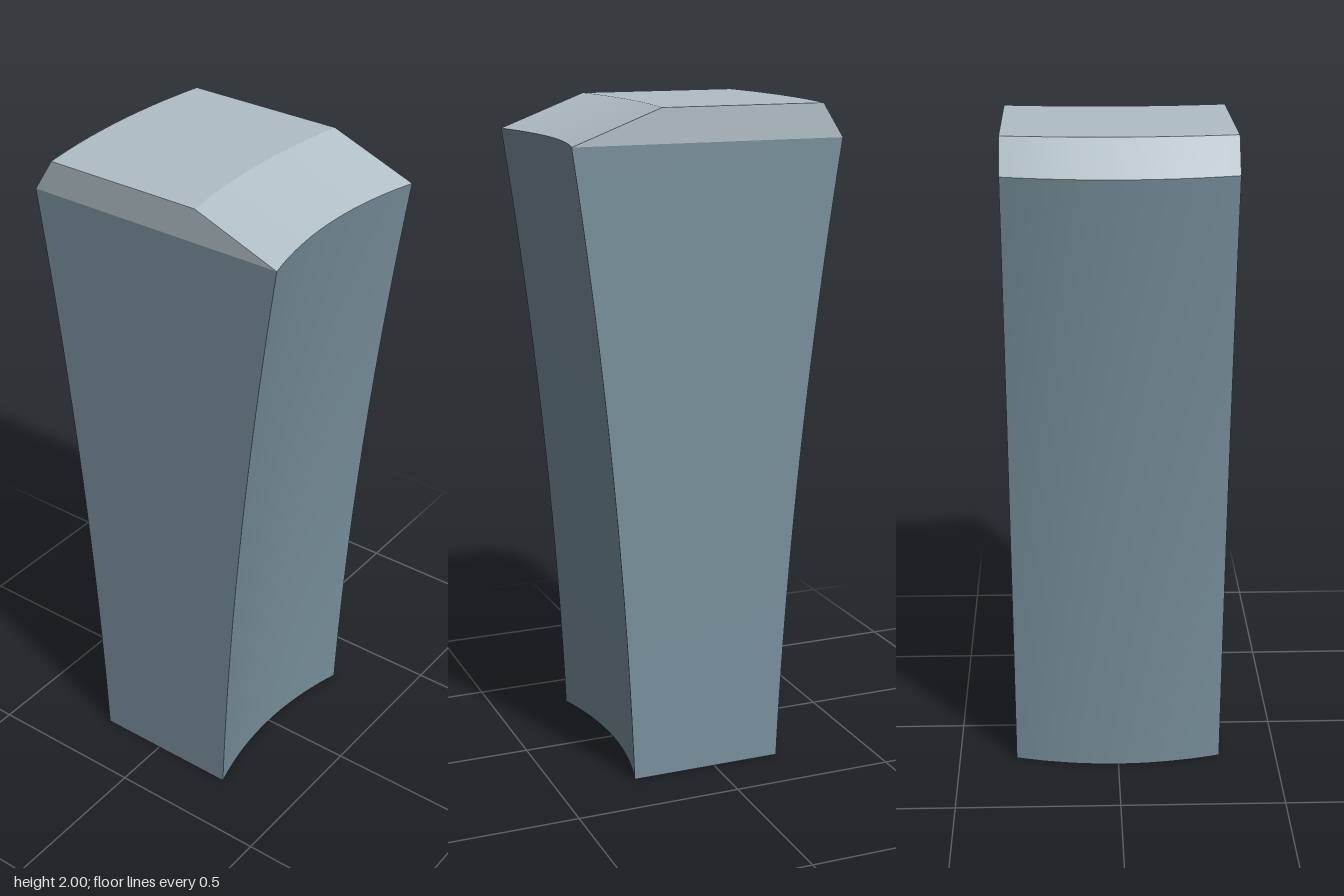
import * as THREE from 'three';

// Cross-section at a height: half width, front and back z on the centre line, bow of the curve
const SHOULDER = 1.9;
function bodySection(y) {
  const t = y / SHOULDER;
  const flare = 0.4 * t + 0.6 * t * t;
  return { y, w: 0.321 + 0.009 * t, front: 0.213 + 0.176 * flare, back: -0.257 - 0.18 * flare, bow: 0.047 };
}
const crown = { y: 2, w: 0.33, front: 0.144, back: -0.353, bow: 0.027 };
const shoulder = bodySection(SHOULDER);

function capSection(v) {
  const s = {};
  for (const k of Object.keys(crown)) s[k] = THREE.MathUtils.lerp(shoulder[k], crown[k], v);
  return s;
}

// Point on a section: a runs across x (-1..1), d runs from front (0) to back (1)
function pointOn(s, a, d) {
  return [a * s.w, s.y, THREE.MathUtils.lerp(s.front, s.back, d) + s.bow * a * a];
}

// Smooth surface patch: u to the right, v upwards as seen from outside
function patch(fn, nu, nv) {
  const positions = [], index = [];
  for (let j = 0; j <= nv; j++)
    for (let i = 0; i <= nu; i++) positions.push(...fn(i / nu, j / nv));
  for (let j = 0; j < nv; j++)
    for (let i = 0; i < nu; i++) {
      const a = j * (nu + 1) + i, b = a + 1, c = a + nu + 1, d = c + 1;
      index.push(a, b, d, a, d, c);
    }
  const g = new THREE.BufferGeometry();
  g.setAttribute('position', new THREE.Float32BufferAttribute(positions, 3));
  g.setIndex(index);
  g.computeVertexNormals();
  return g;
}

// Four walls around a varying section
function walls(name, section, material, nv) {
  const group = new THREE.Group();
  group.name = name;
  const add = (part, fn, nu) => {
    const mesh = new THREE.Mesh(patch(fn, nu, nv), material);
    mesh.name = part;
    group.add(mesh);
  };
  add(name + 'Front', (u, v) => pointOn(section(v), 2 * u - 1, 0), 20);
  add(name + 'Back', (u, v) => pointOn(section(v), 1 - 2 * u, 1), 20);
  add(name + 'LeftSide', (u, v) => pointOn(section(v), 1, u), 1);
  add(name + 'RightSide', (u, v) => pointOn(section(v), -1, 1 - u), 1);
  return group;
}

export function createModel() {
  const model = new THREE.Group();
  model.name = 'curvedBlock';
  const bodyMaterial = new THREE.MeshStandardMaterial({ color: 0x78909c, side: THREE.DoubleSide });
  bodyMaterial.name = 'slate blue';
  const capMaterial = new THREE.MeshStandardMaterial({ color: 0xb0bec5, side: THREE.DoubleSide });
  capMaterial.name = 'pale grey blue';

  // Flared hollow body, open underneath
  model.add(walls('body', (v) => bodySection(v * SHOULDER), bodyMaterial, 20));

  // Bevelled cap with a flat top
  const cap = walls('cap', capSection, capMaterial, 1);
  const top = new THREE.Mesh(patch((u, v) => pointOn(crown, 2 * u - 1, v), 20, 1), capMaterial);
  top.name = 'capTop';
  cap.add(top);
  model.add(cap);
  return model;
}
